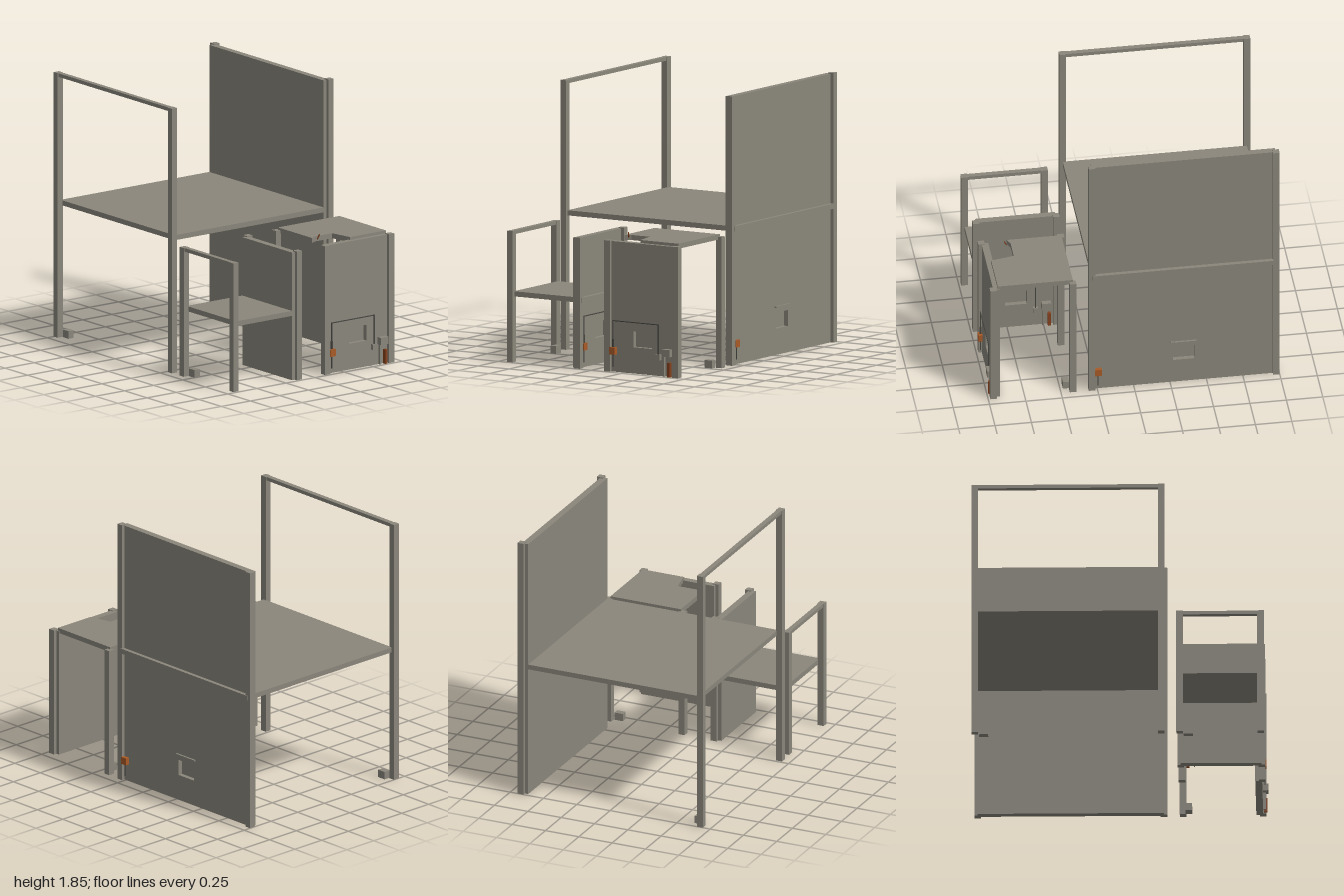
import * as THREE from 'three';

const mat = (name, color) => {
  const m = new THREE.MeshStandardMaterial({ color });
  m.name = name;
  return m;
};

export function createModel() {
  const root = new THREE.Group();
  const body = mat('warm grey', 0x8a867b);
  const orange = mat('rust orange', 0xa85a26);
  const brown = mat('dark rust', 0x84401c);
  const dark = mat('dark grey', 0x45443f);

  // Box given by its lower and upper limits on each axis
  function box(parent, name, m, x0, x1, y0, y1, z0, z1) {
    const mesh = new THREE.Mesh(new THREE.BoxGeometry(x1 - x0, y1 - y0, z1 - z0), m);
    mesh.position.set((x0 + x1) / 2, (y0 + y1) / 2, (z0 + z1) / 2);
    mesh.name = name;
    parent.add(mesh);
    return mesh;
  }

  // Back panel with a shallow rectangular recess on its outer (-z) side
  function recessedPanel(g, hw, top, z0, z1) {
    const s = new THREE.Shape([[-hw, 0], [hw, 0], [hw, top], [-hw, top]].map(p => new THREE.Vector2(...p)));
    s.holes.push(new THREE.Path([[-0.075, 0.18], [-0.075, 0.29], [0.075, 0.29], [0.075, 0.18]]
      .map(p => new THREE.Vector2(...p))));
    const panel = new THREE.Mesh(new THREE.ExtrudeGeometry(s, { depth: z1 - z0, bevelEnabled: false }), body);
    panel.position.z = z0;
    panel.name = 'lowerPanel';
    g.add(panel);
    box(g, 'recessBack', body, -0.075, 0.075, 0.18, 0.29, z1 - 0.015, z1);
  }

  // Frame of four posts with a back panel; shelf is the height of the shelf top
  function unit(name, w, h, d, shelf, small) {
    const g = new THREE.Group();
    g.name = name;
    const hx = w / 2, hz = d / 2, t = 0.045, inset = hx - 0.023;
    for (const sx of [-1, 1]) for (const sz of [-1, 1]) {
      const x = sx * (hx - t / 2), z = sz * (hz - t / 2);
      box(g, sz > 0 ? 'frontPost' : 'backPost', body, x - t / 2, x + t / 2, 0, h, z - t / 2, z + t / 2);
    }
    const out = -hz + 0.023, inn = -hz + 0.07;
    if (shelf) {
      box(g, 'topRail', body, -hx + t, hx - t, h - 0.025, h, hz - 0.04, hz - 0.005);
      box(g, 'shelf', body, -inset, inset, shelf - 0.035, shelf, inn, hz - t + 0.004);
      box(g, 'backRail', body, -inset, inset, shelf - 0.035, shelf, -hz - 0.004, inn);
      box(g, 'upperPanel', body, -inset, inset, shelf, h - 0.007, out, inn);
      recessedPanel(g, inset, shelf - 0.035, out, inn);
    } else {
      recessedPanel(g, inset, h - 0.005, out, inn);
    }
    // Foot block beside one front post
    box(g, 'footBlock', body, -hx + 0.05, -hx + 0.113, 0, 0.053, hz - 0.085, hz - 0.04);

    // Fittings on the outside of the back panel
    const a = hx - 0.065;
    box(g, 'orangeBox', orange, a - 0.023, a + 0.023, 0.12, 0.17, out - 0.028, out);
    box(g, 'lowerCable', dark, a - 0.003, a + 0.003, 0.035, 0.12, out - 0.016, out - 0.008);
    if (small) {
      const b = -hx + 0.165;
      box(g, 'cableSleeve', dark, a - 0.005, a + 0.005, 0.17, 0.225, out - 0.018, out - 0.006);
      box(g, 'cable', dark, a - 0.003, a + 0.003, 0.225, 0.355, out - 0.016, out - 0.01);
      box(g, 'cable', dark, b, a, 0.349, 0.355, out - 0.016, out - 0.01);
      box(g, 'cable', dark, b - 0.003, b + 0.003, 0.15, 0.355, out - 0.016, out - 0.01);
      box(g, 'socket', body, b - 0.017, b + 0.017, 0.11, 0.15, out - 0.022, out);
      box(g, 'junctionBox', body, -hx + 0.06, -hx + 0.125, 0.14, 0.19, out - 0.036, out);
      box(g, 'riser', body, -hx + 0.113, -hx + 0.119, 0, 0.14, out - 0.018, out);
      box(g, 'orangeRod', brown, -hx + 0.062, -hx + 0.082, 0, 0.1, out - 0.028, out - 0.004);
    } else {
      box(g, 'recessHood', body, -0.09, 0.09, 0.325, 0.335, out - 0.014, out);
    }
    root.add(g);
    return g;
  }

  unit('largeFrame', 1.31, 1.85, 1.39, 0.955, false).position.set(-0.345, 0, 0);
  unit('smallFrame', 0.595, 0.9, 0.59, 0.485, true).position.set(0.6875, 0, 0.395);
  const side = unit('sideFrame', 0.595, 0.9, 0.59, 0, true);
  side.rotation.y = -Math.PI / 2;
  side.position.set(0.69, 0, -0.395);

  // Notched top of the side frame
  const outline = [[0.415, -0.135], [0.79, -0.135], [0.77, -0.18], [0.77, -0.325],
    [0.93, -0.355], [0.93, -0.663], [0.415, -0.663]];
  const topGeo = new THREE.ExtrudeGeometry(
    new THREE.Shape(outline.map(([x, z]) => new THREE.Vector2(x, -z))), { depth: 0.035, bevelEnabled: false });
  topGeo.rotateX(-Math.PI / 2);
  const top = new THREE.Mesh(topGeo, body);
  top.position.y = 0.88;
  top.name = 'notchedTop';
  root.add(top);

  // Small leaning stick at the notch
  const stick = box(root, 'stick', brown, 0.803, 0.809, 0.9, 0.94, -0.182, -0.176);
  stick.rotation.set(-0.2, 0, -0.4);

  return root;
}
